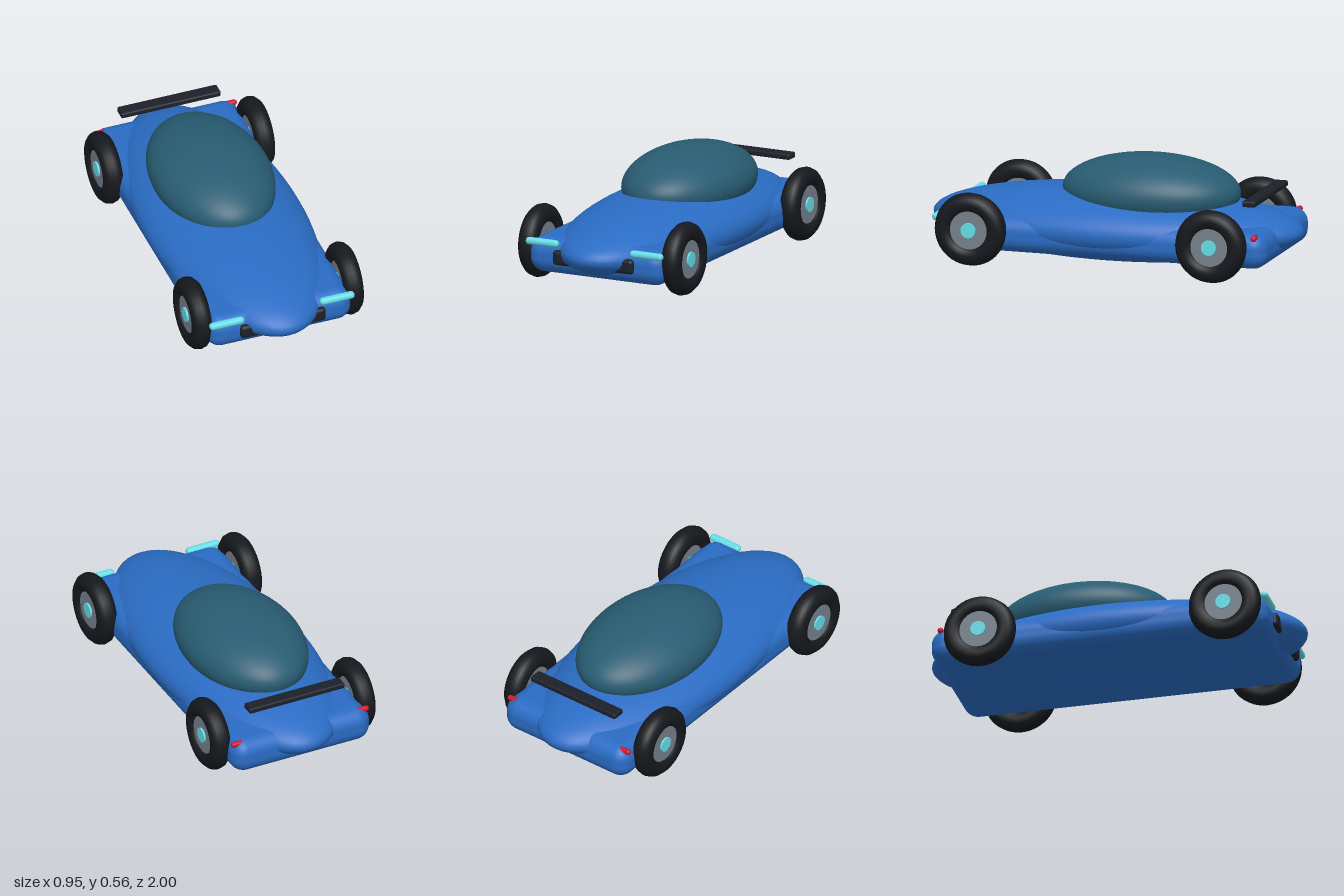
import * as THREE from 'three';
import { RoundedBoxGeometry } from 'three/addons/geometries/RoundedBoxGeometry.js';

const paint = (color) => new THREE.MeshStandardMaterial({ color });
const BLUE = paint(0x2a6cc4), GLASS = paint(0x285c72), RUBBER = paint(0x15181d), TRIM = paint(0x1c2028);
const METAL = paint(0x76808c), CYAN = paint(0x66dde8), RED = paint(0xcc1830);

export function createModel() {
  const car = new THREE.Group();
  car.name = 'car';

  const add = (name, geometry, material, x, y, z, parent = car) => {
    const mesh = new THREE.Mesh(geometry, material);
    mesh.name = name;
    mesh.position.set(x, y, z);
    parent.add(mesh);
    return mesh;
  };
  const ellipsoid = (rx, ry, rz) => new THREE.SphereGeometry(1, 64, 40).scale(rx, ry, rz);
  const block = (w, h, d, r) => new RoundedBoxGeometry(w, h, d, 5, r);

  // Streamlined hull, wide lower chassis and glass canopy
  add('hull', ellipsoid(0.42, 0.19, 1), BLUE, 0, 0.2, 0);
  add('chassis', block(0.8, 0.19, 1.8, 0.08), BLUE, 0, 0.17, -0.02);
  add('canopy', ellipsoid(0.312, 0.188, 0.475), GLASS, 0, 0.38, -0.18);

  // Front grille and rear spoiler
  add('grille', block(0.47, 0.078, 0.06, 0.02), TRIM, 0, 0.176, 0.873);
  add('spoiler', block(0.55, 0.032, 0.072, 0.01), TRIM, 0, 0.4, -0.797);

  // Wheel parts, axle along x
  const tyre = new THREE.TorusGeometry(0.139, 0.054, 12, 48).rotateY(Math.PI / 2);
  const rim = new THREE.CylinderGeometry(0.105, 0.105, 0.07, 40).rotateZ(Math.PI / 2);
  const hub = new THREE.CylinderGeometry(0.04, 0.04, 0.09, 24).rotateZ(Math.PI / 2);

  for (const side of [-1, 1]) {
    const label = side > 0 ? 'left' : 'right';
    add(label + 'Headlight', block(0.19, 0.038, 0.04, 0.018), CYAN, side * 0.305, 0.244, 0.87);
    add(label + 'TailLight', block(0.18, 0.03, 0.03, 0.014), RED, side * 0.307, 0.245, -0.86);

    for (const [end, z] of [['Front', 0.67], ['Rear', -0.64]]) {
      const wheel = new THREE.Group();
      wheel.name = label + end + 'Wheel';
      wheel.position.set(side * 0.419, 0.198, z);
      add('tyre', tyre, RUBBER, 0, 0, 0, wheel);
      add('rim', rim, METAL, 0, 0, 0, wheel);
      add('hub', hub, CYAN, 0, 0, 0, wheel);
      car.add(wheel);
    }
  }
  return car;
}
